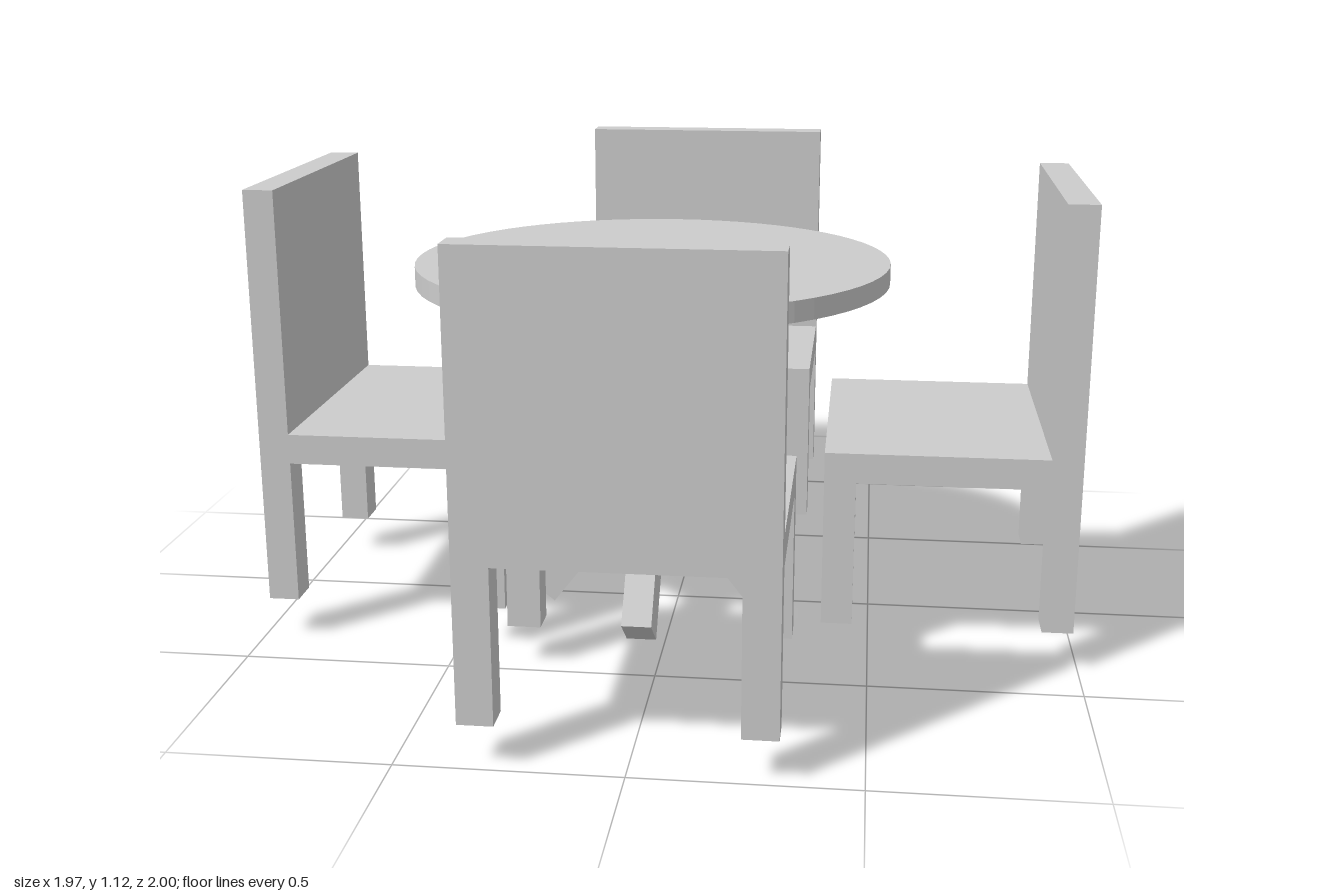
import * as THREE from 'three';

const material = new THREE.MeshStandardMaterial({ color: 0xcccccc, flatShading: true });

function add(parent, name, geometry, x, y, z) {
  const mesh = new THREE.Mesh(geometry, material);
  mesh.name = name;
  mesh.position.set(x, y, z);
  parent.add(mesh);
  return mesh;
}

// Chair with its backrest on the local +z side
function createChair(name) {
  const chair = new THREE.Group();
  chair.name = name;
  const width = 0.68, depth = 0.597, legWidth = 0.08, legDepth = 0.074;
  const seatBottom = 0.455, seatTop = 0.528, backTop = 1.123, floor = 0.1;

  add(chair, 'seat', new THREE.BoxGeometry(width, seatTop - seatBottom, depth),
    0, (seatBottom + seatTop) / 2, 0);
  add(chair, 'backrest', new THREE.BoxGeometry(width, backTop - seatTop, 0.073),
    0, (backTop + seatTop) / 2, depth / 2 - 0.0365);
  for (const sx of [-1, 1]) {
    for (const sz of [-1, 1]) {
      add(chair, sz > 0 ? 'rearLeg' : 'frontLeg',
        new THREE.BoxGeometry(legWidth, seatBottom - floor, legDepth),
        sx * (width - legWidth) / 2, (seatBottom + floor) / 2, sz * (depth - legDepth) / 2);
    }
  }
  return chair;
}

function createTable() {
  const table = new THREE.Group();
  table.name = 'table';
  add(table, 'tabletop', new THREE.CylinderGeometry(0.59, 0.59, 0.05, 64), 0, 0.89, 0);
  add(table, 'column', new THREE.CylinderGeometry(0.117, 0.117, 0.655, 40), 0, 0.5425, 0);

  // Four splayed feet, each a tilted beam whose inner end is buried in the column
  const length = 0.42, tilt = 0.66;
  for (let i = 0; i < 4; i++) {
    const foot = new THREE.Group();
    foot.name = 'foot';
    foot.rotation.y = i * Math.PI / 2;
    const x = 0.308 - Math.sin(tilt) * length / 2;
    const y = 0.037 + Math.cos(tilt) * length / 2;
    add(foot, 'footBeam', new THREE.BoxGeometry(0.12, length, 0.074), x, y, 0).rotation.z = tilt;
    table.add(foot);
  }
  return table;
}

export function createModel() {
  const model = new THREE.Group();
  model.name = 'diningSet';

  const table = createTable();
  table.position.set(-0.06, 0, 0.03);
  model.add(table);

  // Four chairs facing the table: name, x, z, turn
  const places = [
    ['frontChair', -0.018, 0.699, 0],
    ['leftChair', 0.685, 0.03, Math.PI / 2],
    ['backChair', -0.018, -0.699, Math.PI],
    ['rightChair', -0.685, 0.03, -Math.PI / 2],
  ];
  for (const [name, x, z, turn] of places) {
    const chair = createChair(name);
    chair.position.set(x, 0, z);
    chair.rotation.y = turn;
    model.add(chair);
  }
  return model;
}
